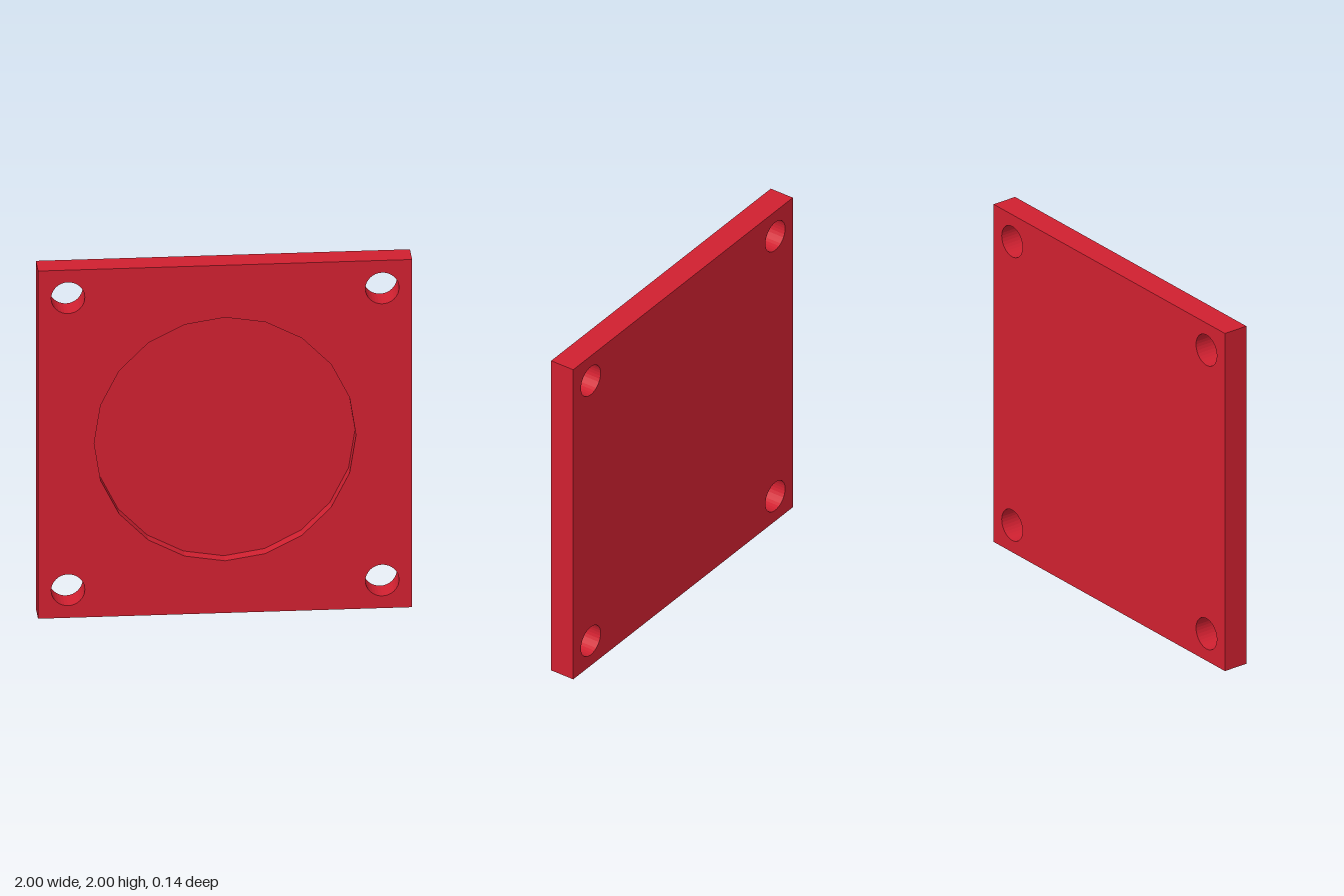
import * as THREE from 'three';
import { mergeGeometries } from 'three/addons/utils/BufferGeometryUtils.js';

const HALF = 0.0725;          // half the plate thickness
const FLOOR_Z = 0;            // depth of the recess floor
const HOLE_OFFSET = 0.84;

// Regular polygon, counter-clockwise, first corner on +x
function ring(cx, cy, r, sides) {
  return Array.from({ length: sides }, (_, i) => {
    const a = (i / sides) * Math.PI * 2;
    return new THREE.Vector2(cx + r * Math.cos(a), cy + r * Math.sin(a));
  });
}

// Flat face at height z, facing +z or -z
function face(outline, holes, z, back = false) {
  const shape = new THREE.Shape(outline);
  shape.holes = holes.map((h) => new THREE.Path(h));
  const g = new THREE.ShapeGeometry(shape).toNonIndexed();
  // the outlines are mirror symmetric, so a half turn gives the rear face
  if (back) g.rotateY(Math.PI);
  g.translate(0, 0, z);
  g.deleteAttribute('uv');
  return g;
}

// Straight wall along a closed loop; inward walls line a hole
function wall(loop, z0, z1, inward = false) {
  const pts = inward ? [...loop].reverse() : loop;
  const pos = [];
  pts.forEach((a, i) => {
    const b = pts[(i + 1) % pts.length];
    pos.push(a.x, a.y, z0, b.x, b.y, z0, b.x, b.y, z1);
    pos.push(a.x, a.y, z0, b.x, b.y, z1, a.x, a.y, z1);
  });
  const g = new THREE.BufferGeometry();
  g.setAttribute('position', new THREE.Float32BufferAttribute(pos, 3));
  g.computeVertexNormals();
  return g;
}

export function createModel() {
  const group = new THREE.Group();
  group.name = 'mountingPlate';
  const material = new THREE.MeshStandardMaterial({ color: 0xd02030, flatShading: true });

  const add = (name, ...parts) => {
    const mesh = new THREE.Mesh(mergeGeometries(parts), material);
    mesh.name = name;
    mesh.position.y = 1;
    group.add(mesh);
  };

  const square = [[-1, -1], [1, -1], [1, 1], [-1, 1]].map(([x, y]) => new THREE.Vector2(x, y));
  const recess = ring(0, 0, 0.7, 20);
  const boltHoles = [];
  for (const sx of [-1, 1]) {
    for (const sy of [-1, 1]) boltHoles.push(ring(sx * HOLE_OFFSET, sy * HOLE_OFFSET, 0.09, 32));
  }

  // Square plate: front, back and outer edges
  add('plate',
    face(square, [...boltHoles, recess], HALF),
    face(square, boltHoles, -HALF, true),
    wall(square, -HALF, HALF));

  // Shallow round pocket in the front
  add('recess', face(recess, [], FLOOR_Z), wall(recess, FLOOR_Z, HALF, true));

  // Corner through-holes
  add('boltHoles', ...boltHoles.map((h) => wall(h, -HALF, HALF, true)));

  return group;
}
